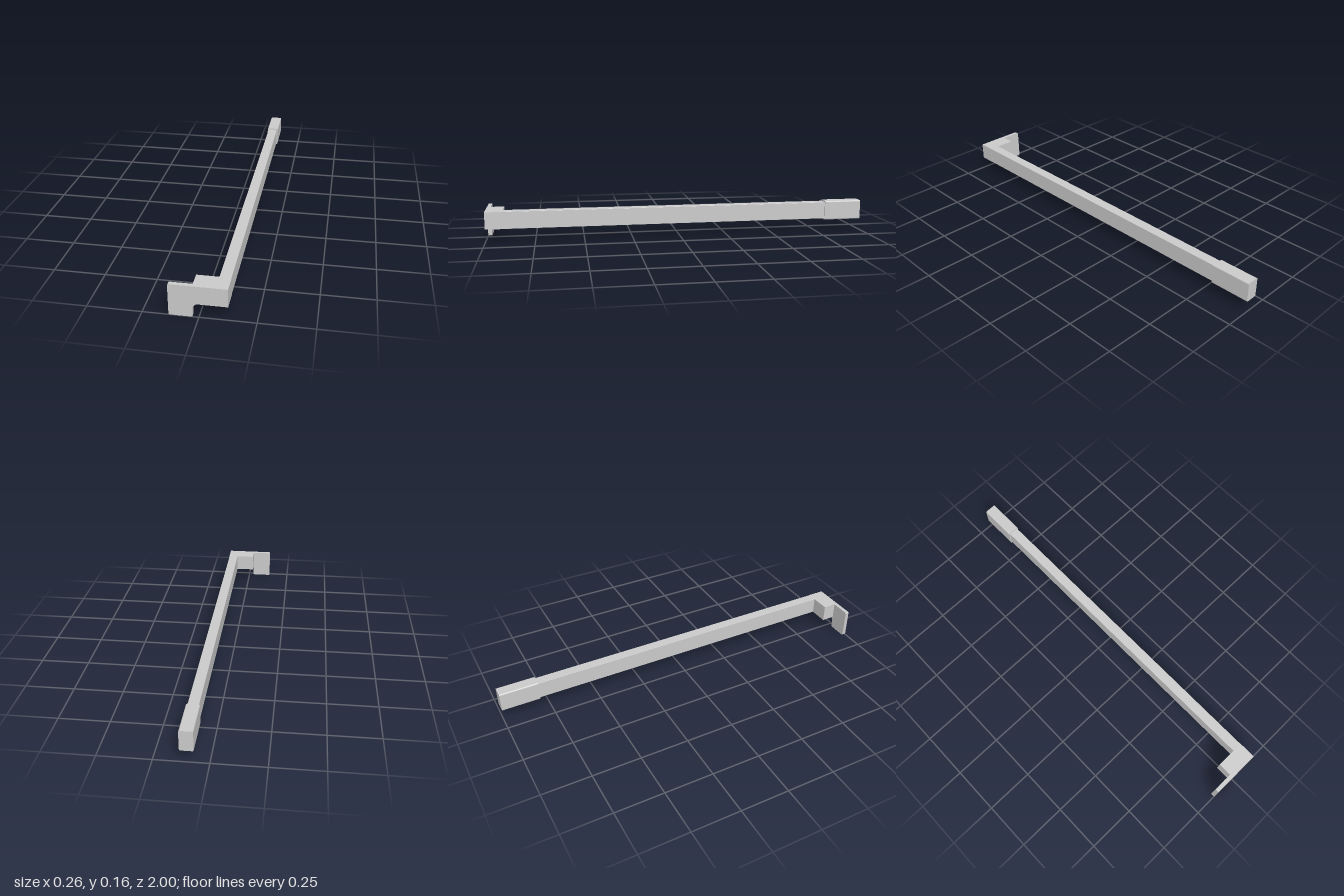
import * as THREE from 'three';

const material = new THREE.MeshStandardMaterial({ color: 0xcccccc });

// Extrude an outline of [x, y, cornerRadius] points from z0 to z1
function bar(name, points, z0, z1) {
  const shape = new THREE.Shape();
  const n = points.length;
  points.forEach(([x, y, r], i) => {
    const p = new THREE.Vector2(x, y);
    const toward = ([qx, qy]) =>
      p.clone().add(new THREE.Vector2(qx, qy).sub(p).setLength(r));
    const a = r ? toward(points[(i + n - 1) % n]) : p;
    if (i === 0) shape.moveTo(a.x, a.y);
    else shape.lineTo(a.x, a.y);
    if (r) {
      const b = toward(points[(i + 1) % n]);
      const k = 0.5523; // circular corner as a cubic curve
      const c1 = a.clone().lerp(p, k), c2 = b.clone().lerp(p, k);
      shape.bezierCurveTo(c1.x, c1.y, c2.x, c2.y, b.x, b.y);
    }
  });
  shape.closePath();
  const geometry = new THREE.ExtrudeGeometry(shape, {
    depth: z1 - z0, bevelEnabled: false, curveSegments: 8,
  });
  geometry.translate(0, 0, z0);
  const mesh = new THREE.Mesh(geometry, material);
  mesh.name = name;
  return mesh;
}

const rect = (x0, x1, y0, y1, r) => [[x0, y0, r], [x1, y0, r], [x1, y1, r], [x0, y1, r]];

export function createModel() {
  const group = new THREE.Group();
  group.name = 'hookedBar';

  // Long rectangular arm
  group.add(bar('arm', rect(0.074, 0.126, 0.066, 0.155, 0.001), -0.81, 0.91));

  // Slightly larger sleeve over the rear end
  group.add(bar('endSleeve', rect(0.068, 0.132, 0.059, 0.162, 0.007), -1, -0.8));

  // Elbow block joining the arm to the hook plate
  group.add(bar('elbowBlock', rect(-0.027, 0.127, 0.066, 0.155, 0), 0.91, 0.98));

  // Thin front plate with a downward tab and a filleted inner corner
  group.add(bar('hookPlate', [
    [-0.133, 0, 0.007], [-0.027, 0, 0.006], [-0.027, 0.066, 0.025],
    [0.127, 0.066, 0], [0.127, 0.155, 0], [-0.133, 0.155, 0.007],
  ], 0.98, 1));

  return group;
}
